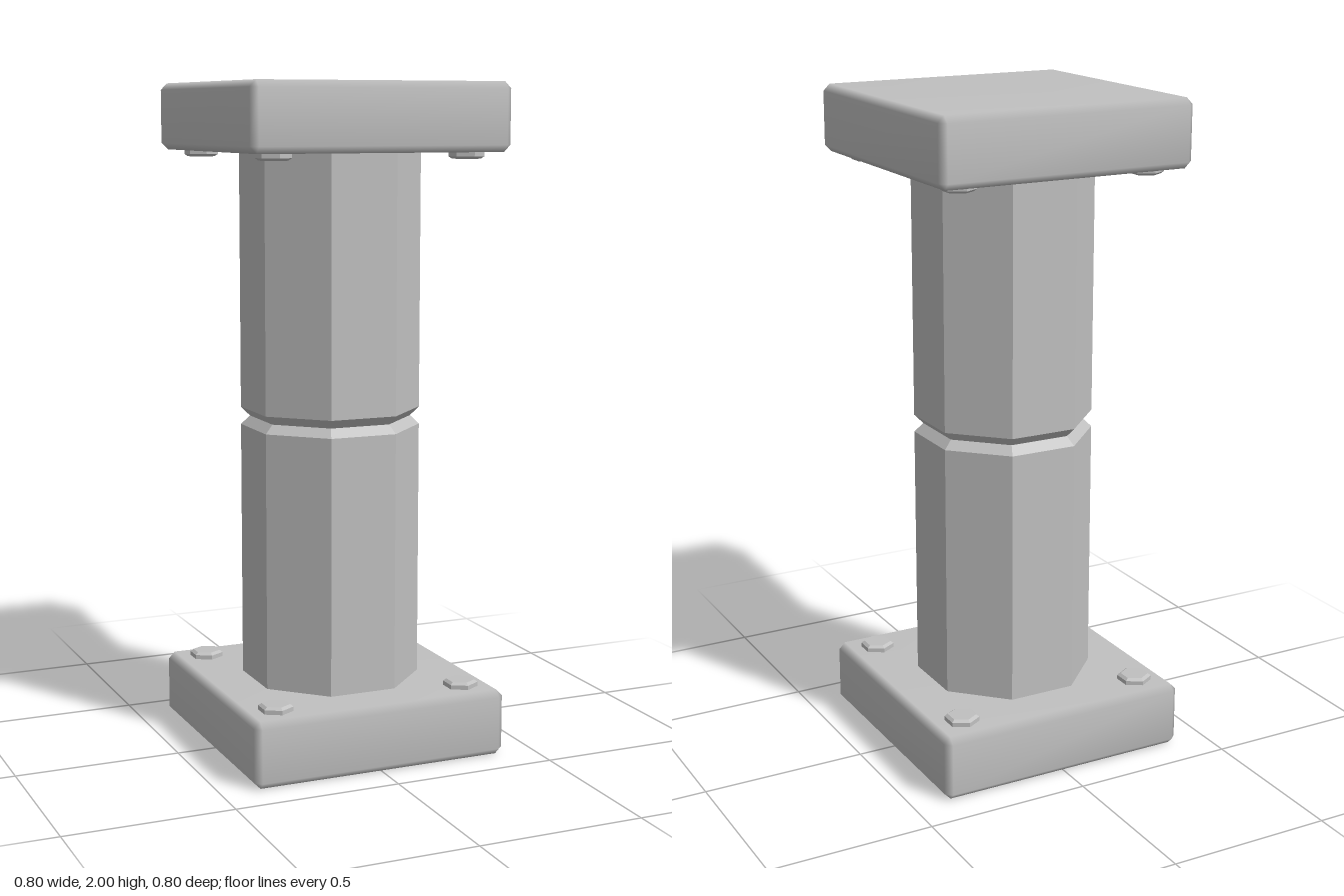
import * as THREE from 'three';
import { mergeVertices } from 'three/addons/utils/BufferGeometryUtils.js';
import { ConvexGeometry } from 'three/addons/geometries/ConvexGeometry.js';

const steel = new THREE.MeshStandardMaterial({ color: 0xc0c0c0 });
steel.name = 'steel';
const facetedSteel = steel; // one colour throughout

function add(parent, name, geometry, x, y, z) {
  const mesh = new THREE.Mesh(geometry, facetedSteel);
  mesh.name = name;
  mesh.position.set(x, y, z);
  parent.add(mesh);
  return mesh;
}

// Box with single-cut bevels on every edge and softened normals
function beveledBox(w, h, d, b) {
  const points = [];
  for (const x of [-w / 2, w / 2])
    for (const y of [-h / 2, h / 2])
      for (const z of [-d / 2, d / 2]) {
        const p = new THREE.Vector3(x, y, z);
        const inner = new THREE.Vector3(x - Math.sign(x) * b, y - Math.sign(y) * b, z - Math.sign(z) * b);
        points.push(
          new THREE.Vector3(p.x, inner.y, inner.z),
          new THREE.Vector3(inner.x, p.y, inner.z),
          new THREE.Vector3(inner.x, inner.y, p.z)
        );
      }
  const geometry = new ConvexGeometry(points);
  geometry.deleteAttribute('normal');
  const merged = mergeVertices(geometry, 1e-5);
  merged.computeVertexNormals();
  return merged;
}

// Lathe with flat facets
function facetedLathe(profile, sides, phiStart) {
  const points = profile.map(([r, y]) => new THREE.Vector2(r, y));
  const geometry = new THREE.LatheGeometry(points, sides, phiStart).toNonIndexed();
  geometry.computeVertexNormals();
  return geometry;
}

export function createModel() {
  const group = new THREE.Group();
  group.name = 'pillar';

  // Octagonal shaft with a V groove at mid height
  const k = 1 / Math.cos(Math.PI / 8);
  const shaft = [[0.25, 0.19], [0.25, 0.977], [0.225, 1.003], [0.25, 1.03], [0.25, 1.81]];
  add(group, 'shaft', facetedLathe(shaft.map(([r, y]) => [r * k, y]), 8, Math.PI / 8), 0, 0, 0);

  // Base and cap plates
  const plate = beveledBox(0.8, 0.2, 0.8, 0.02);
  add(group, 'basePlate', plate, 0, 0.1, 0);
  add(group, 'capPlate', plate, 0, 1.9, 0);

  // Hexagonal bolt heads at the plate corners
  const bolt = facetedLathe([[0.052, -0.005], [0.052, 0.013], [0.042, 0.02], [0, 0.02]], 6, 0);
  for (const x of [-0.3, 0.3])
    for (const z of [-0.3, 0.3]) {
      add(group, 'baseBolt', bolt, x, 0.2, z);
      add(group, 'capBolt', bolt, x, 1.8, z).rotation.x = Math.PI;
    }

  return group;
}
